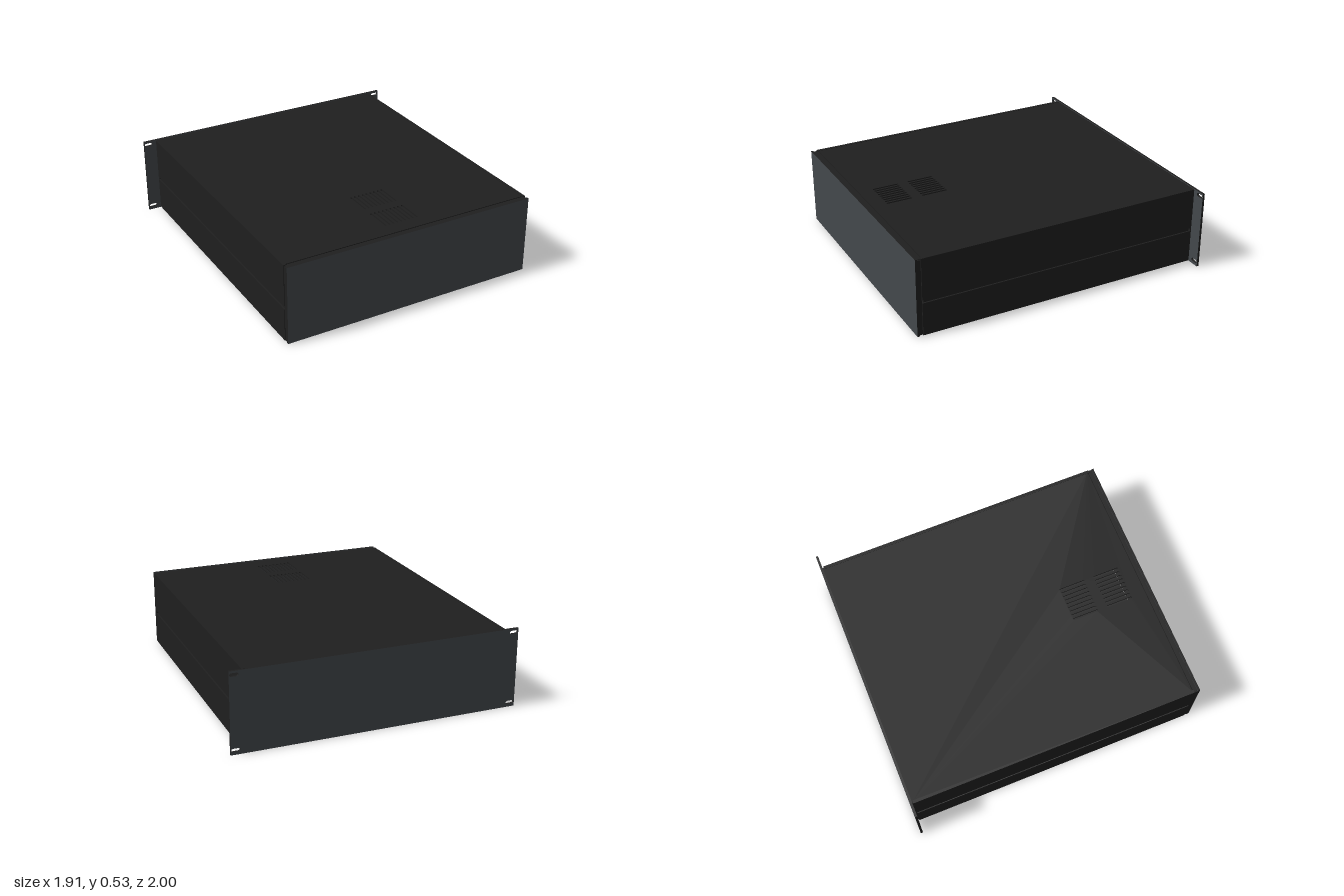
import * as THREE from 'three';

const mat = (name, color) => new THREE.MeshStandardMaterial({ name, color });

// Rounded slot outline, length w along x and height h along y
function slot(cx, cy, w, h) {
  const r = Math.min(w, h) / 2, p = new THREE.Path();
  if (w > h) {
    p.absarc(cx + w / 2 - r, cy, r, -Math.PI / 2, Math.PI / 2);
    p.absarc(cx - w / 2 + r, cy, r, Math.PI / 2, Math.PI * 1.5);
  } else {
    p.absarc(cx, cy + h / 2 - r, r, 0, Math.PI);
    p.absarc(cx, cy - h / 2 + r, r, Math.PI, Math.PI * 2);
  }
  p.closePath();
  return p;
}

// Flat sheet with optional holes, extruded along z
function sheet(x, y0, y1, depth, holes = []) {
  const s = new THREE.Shape([[-x, y0], [x, y0], [x, y1], [-x, y1]].map(([a, b]) => new THREE.Vector2(a, b)));
  s.holes.push(...holes);
  return new THREE.ExtrudeGeometry(s, { depth, bevelEnabled: false, curveSegments: 6 });
}

export function createModel() {
  const group = new THREE.Group();
  group.name = 'rackEnclosure';
  const black = mat('blackMetal', 0x1f1f1f);
  const grey = mat('greyPanel', 0x44484c);

  const add = (name, geometry, material) => {
    const m = new THREE.Mesh(geometry, material);
    m.name = name;
    group.add(m);
    return m;
  };
  const box = (name, x0, x1, y0, y1, z0, z1) =>
    add(name, new THREE.BoxGeometry(x1 - x0, y1 - y0, z1 - z0), black)
      .position.set((x0 + x1) / 2, (y0 + y1) / 2, (z0 + z1) / 2);

  // Front panel, and rear panel with slotted rack ears: grey faces, black edges
  add('frontPanel', sheet(0.868, 0.004, 0.53, 0.015), [grey, black]).position.z = 0.985;
  const earSlots = [];
  for (const x of [-0.923, 0.923]) for (const y of [0.03, 0.508]) earSlots.push(slot(x, y, 0.056, 0.022));
  add('rackPanel', sheet(0.955, 0, 0.532, 0.015, earSlots), [grey, black]).position.z = -1;

  // Top cover with two rows of ventilation slots, and plain bottom cover
  const vents = [];
  for (const z of [0.765, 0.52])
    for (let i = 0; i < 9; i++) vents.push(slot(-0.11 + i * 0.0283, -z, 0.014, 0.18));
  const top = add('topCover', sheet(0.862, -0.952, 0.985, 0.01, vents), black);
  top.rotation.x = -Math.PI / 2;
  top.position.y = 0.518;
  box('bottomCover', -0.862, 0.862, 0.006, 0.016, -0.985, 0.952);

  // Side walls: upper and lower profiles around a recessed centre channel
  for (const s of [-1, 1]) {
    const side = (name, a, b, y0, y1, z0, z1) =>
      box(name, Math.min(s * a, s * b), Math.max(s * a, s * b), y0, y1, z0, z1);
    side('sideUpper', 0.85, 0.87, 0.25, 0.53, -0.978, 0.962);
    side('sideLower', 0.85, 0.87, 0.006, 0.228, -0.978, 0.962);
    side('sideChannel', 0.845, 0.86, 0.22, 0.258, -0.967, 0.95);
    // Upright between the wall and the front panel
    side('frontPost', 0.84, 0.868, 0.012, 0.522, 0.965, 0.985);
    side('rearPost', 0.84, 0.864, 0.012, 0.522, -0.985, -0.978);
  }

  // Horizontal rails holding the front panel
  box('frontRailTop', -0.862, 0.862, 0.505, 0.526, 0.956, 0.985);
  box('frontRailBottom', -0.862, 0.862, 0.008, 0.029, 0.956, 0.985);
  return group;
}
